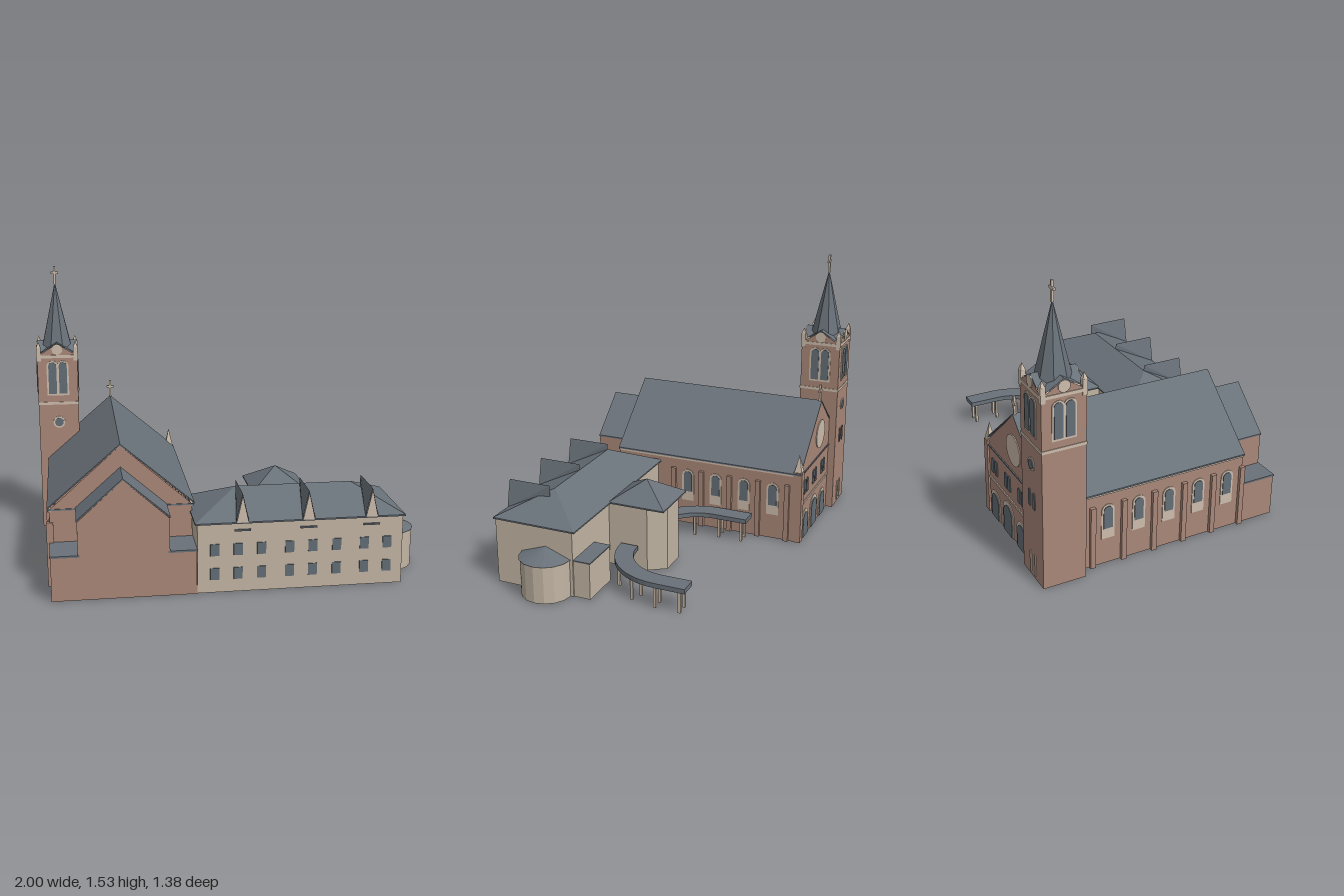
import * as THREE from 'three';

const material = (name, color) => {
  const m = new THREE.MeshStandardMaterial({ color, flatShading: true, side: THREE.DoubleSide });
  m.name = name;
  return m;
};

export function createModel() {
  const brick = material('brick', 0xa98778);
  const plaster = material('plaster', 0xc2b5a3);
  const trim = material('pale trim', 0xcdbdac);
  const slate = material('slate', 0x697179);
  const glass = material('window glass', 0x646e76);
  const root = new THREE.Group();
  const PI = Math.PI;

  const add = (name, geo, mat, x = 0, y = 0, z = 0, ry = 0, parent = root) => {
    const m = new THREE.Mesh(geo, mat);
    m.name = name;
    m.position.set(x, y, z);
    m.rotation.y = ry;
    parent.add(m);
    return m;
  };
  // Box given by its limits
  const box = (name, mat, x0, x1, y0, y1, z0, z1, parent = root) =>
    add(name, new THREE.BoxGeometry(x1 - x0, y1 - y0, z1 - z0), mat,
      (x0 + x1) / 2, (y0 + y1) / 2, (z0 + z1) / 2, 0, parent);
  // Convex polygons split into fans
  const faces = (polys) => {
    const p = [];
    for (const q of polys)
      for (let i = 1; i < q.length - 1; i++) p.push(...q[0], ...q[i], ...q[i + 1]);
    const g = new THREE.BufferGeometry();
    g.setAttribute('position', new THREE.Float32BufferAttribute(p, 3));
    g.computeVertexNormals();
    return g;
  };
  // Walls without floor or ceiling around an [x, z] outline
  const shell = (pts, h) => faces(pts.map(([x, z], i) => {
    const [u, w] = pts[(i + 1) % pts.length];
    return [[x, 0, z], [u, 0, w], [u, h, w], [x, h, z]];
  }));
  const rect = (x0, x1, z0, z1) => [[x0, z1], [x1, z1], [x1, z0], [x0, z0]];
  const hip = (x0, x1, z0, z1, y0, a, b, zr, y1) => {
    const [A, B, C, D] = rect(x0, x1, z0, z1).map(([x, z]) => [x, y0, z]);
    const P = [a, y1, zr], Q = [b, y1, zr];
    return faces([[A, B, Q, P], [B, C, Q], [C, D, P, Q], [D, A, P]]);
  };
  const extrude = (shape, depth) =>
    new THREE.ExtrudeGeometry(shape, { depth, bevelEnabled: false, curveSegments: 8 });
  const poly = (pts) => new THREE.Shape(pts.map(([x, y]) => new THREE.Vector2(x, y)));
  const arch = (w, h) => {
    const s = new THREE.Shape();
    s.moveTo(-w / 2, 0);
    s.lineTo(w / 2, 0);
    s.lineTo(w / 2, h - w / 2);
    s.absarc(0, h - w / 2, w / 2, 0, PI, false);
    s.closePath();
    return s;
  };
  const disc = (r) => new THREE.Shape().absarc(0, 0, r, 0, 2 * PI, false);
  const plate = (name, shape, mat, x, y, z, ry, d, parent) =>
    add(name, extrude(shape, d), mat, x, y, z, ry, parent);
  const cross = (name, x, y, z, h, parent) => {
    box(name + 'Post', trim, x - 0.006, x + 0.006, y, y + h, z - 0.006, z + 0.006, parent);
    box(name + 'Arm', trim, x - 0.022, x + 0.022, y + h * 0.58, y + h * 0.7, z - 0.006, z + 0.006, parent);
  };

  // Gabled hall: walls open below, thin slate roof
  const cx = -0.575;
  const hall = (name, w, eave, ridge, z0, z1, over) => {
    const gable = (z) => [[cx - w, 0, z], [cx + w, 0, z], [cx + w, eave, z], [cx, ridge - 0.008, z], [cx - w, eave, z]];
    const f = gable(z1), b = gable(z0);
    add(name + 'Walls', faces([f, b.slice().reverse(),
      [f[1], b[1], b[2], f[2]], [b[0], f[0], f[4], b[4]]]), brick);
    const o = w + over;
    plate(name + 'Roof', poly([[-o, eave], [-o, eave + 0.008], [0, ridge], [o, eave + 0.008], [o, eave], [0, ridge - 0.008]]),
      slate, cx, 0, z0 - 0.002, 0, z1 - z0 + 0.004);
  };
  hall('nave', 0.365, 0.412, 0.745, -0.645, 0.48, 0.013);
  hall('choir', 0.23, 0.41, 0.625, 0.48, 0.685, 0.004);
  for (const s of [-1, 1]) {
    const a = cx + s * 0.225, b = cx + s * 0.365;
    const x0 = Math.min(a, b), x1 = Math.max(a, b);
    add('sideChapel', shell(rect(x0, x1, 0.48, 0.685), 0.235), brick);
    box('sideChapelRoof', slate, x0 - 0.004, x1 + 0.004, 0.228, 0.238, 0.48, 0.688);
    // Nave bays: eave trim, pilasters and arched windows
    const wx = cx + s * 0.365, ry = s * PI / 2;
    box('eaveTrim', trim, wx - 0.006, wx + 0.006, 0.4, 0.412, -0.645, 0.48);
    for (let i = 0; i < 7; i++) {
      const z = -0.57 + i * 0.174;
      if (s > 0 ? i < 5 : i > 0)
        box('pilaster', brick, wx - 0.018, wx + 0.018, 0, 0.345, z - 0.014, z + 0.014);
      if (s > 0 ? i < 4 : i > 0 && i < 6) {
        plate('naveWindowFrame', arch(0.072, 0.195), trim, wx, 0.147, z + 0.087, ry, 0.004);
        plate('naveWindowGlass', arch(0.05, 0.125), glass, wx, 0.205, z + 0.087, ry, 0.007);
      }
    }
  }
  box('frontEaveLine', slate, -0.95, -0.2, 0.407, 0.415, 0.478, 0.484);
  cross('naveCross', cx, 0.735, -0.635, 0.105);
  box('cornerPier', brick, -0.247, -0.203, 0, 0.43, -0.655, -0.605);
  add('cornerPinnacle', new THREE.ConeGeometry(0.03, 0.1, 4, 1).rotateY(PI / 4), trim, -0.225, 0.48, -0.63);

  // Entrance facade at the rear
  const fz = -0.645;
  [-0.32, -0.487, -0.655].forEach((x, i) => {
    const k = i === 1 ? 1.15 : 1;
    plate('portalFrame', arch(0.12 * k, 0.165 * k), trim, x, 0, fz, PI, 0.004);
    plate('portalDoor', arch(0.09 * k, 0.145 * k), glass, x, 0, fz, PI, 0.007);
    for (const d of [-0.022, 0.022])
      plate('facadeWindow', arch(0.03, 0.085), glass, x + d, 0.27, fz, PI, 0.005);
  });
  box('facadeBand', trim, -0.765, -0.25, 0.215, 0.228, fz - 0.005, fz);
  box('facadeEaveBand', slate, -0.765, -0.25, 0.405, 0.413, fz - 0.006, fz);
  plate('roseWindow', disc(0.085), trim, cx, 0.54, fz, PI, 0.005);

  // Bell tower
  const tower = new THREE.Group();
  tower.name = 'bellTower';
  tower.position.set(-0.882, 0, -0.572);
  root.add(tower);
  const R = 0.115;
  add('towerWalls', shell(rect(-R, R, -R, R), 1.03), brick, 0, 0, 0, 0, tower);
  box('towerBand', trim, -R - 0.003, R + 0.003, 0.742, 0.758, -R - 0.003, R + 0.003, tower);
  box('towerCornice', trim, -R - 0.004, R + 0.004, 1.018, 1.035, -R - 0.004, R + 0.004, tower);
  for (let i = 0; i < 4; i++) {
    const side = new THREE.Group();
    side.name = 'towerSide';
    side.rotation.y = i * PI / 2;
    tower.add(side);
    for (const x of [-0.03, 0.03]) {
      plate('belfryFrame', arch(0.066, 0.205), trim, x, 0.797, R, 0, 0.004, side);
      plate('belfryOpening', arch(0.046, 0.185), glass, x, 0.808, R, 0, 0.007, side);
    }
    if (i % 2 === 0) {
      plate('roundFrame', disc(0.035), trim, 0, 0.637, R, 0, 0.004, side);
      plate('roundGlass', disc(0.025), glass, 0, 0.637, R, 0, 0.007, side);
    }
    add('towerGable', faces([[[-R, 1.03, R], [R, 1.03, R], [0, 1.1, R]]]), brick, 0, 0, 0, 0, side);
    add('towerGableRoof', faces([
      [[-R, 1.035, R], [0, 1.105, R], [0, 1.105, 0]],
      [[R, 1.035, R], [0, 1.105, 0], [0, 1.105, R]]]), slate, 0, 0, 0, 0, side);
    plate('gableDisc', disc(0.031), trim, 0, 1.068, R, 0, 0.005, side);
    box('pinnacleBase', trim, R - 0.022, R + 0.004, 1, 1.08, R - 0.022, R + 0.004, side);
    add('pinnacle', new THREE.ConeGeometry(0.018, 0.035, 4).rotateY(PI / 4), trim, R - 0.009, 1.097, R - 0.009, 0, side);
  }
  add('spire', new THREE.ConeGeometry(0.1, 0.415, 8, 1, true).rotateY(PI / 8), slate, 0, 1.2375, 0, 0, tower);
  cross('spireCross', 0, 1.43, 0, 0.105, tower);
  for (const x of [-0.025, 0.025]) {
    plate('towerSlit', arch(0.02, 0.09), glass, x, 0.4, -R, PI, 0.005, tower);
    plate('towerBaseSlit', arch(0.014, 0.12), trim, x, 0.02, -R, PI, 0.005, tower);
  }

  // Long residence with hipped roof
  add('residenceWalls', shell(rect(-0.208, 0.857, 0.23, 0.68), 0.366), plaster);
  box('residenceCeiling', plaster, -0.2, 0.85, 0.355, 0.36, 0.235, 0.675);
  box('residenceEave', slate, -0.22, 0.868, 0.364, 0.372, 0.212, 0.688);
  add('residenceRoof', hip(-0.22, 0.868, 0.212, 0.688, 0.372, 0.02, 0.635, 0.445, 0.487), slate);
  for (const x of [-0.12, 0, 0.12, 0.265, 0.385, 0.51, 0.655, 0.775])
    for (const y of [0.1, 0.228])
      box('residenceWindow', glass, x - 0.023, x + 0.023, y - 0.031, y + 0.031, 0.679, 0.685);
  for (const x of [0.022, 0.362, 0.69]) {
    const L = [x - 0.034, 0.37, 0.686], Q = [x + 0.034, 0.37, 0.686], T = [x, 0.52, 0.686];
    const B = [x, 0.52, 0.445], D = [x, 0.45, 0.445];
    add('dormerRoof', faces([[L, T, B, D], [Q, D, B, T]]), slate);
    plate('dormerFront', poly([[-0.031, 0.37], [0.031, 0.37], [0, 0.512]]), trim, x, 0, 0.684, 0, 0.005);
    box('dormerSill', slate, x - 0.042, x + 0.042, 0.325, 0.333, 0.679, 0.69);
  }

  // Rounded end bay
  add('endBay', new THREE.CylinderGeometry(0.137, 0.137, 0.21, 8, 1, true, 0, PI), plaster, 0.857, 0.105, 0.385);
  add('endBayRoof', new THREE.CylinderGeometry(0, 0.143, 0.052, 8, 1, true, 0, PI), slate, 0.857, 0.234, 0.385);

  // Rear annex and pavilion
  add('annexWalls', shell(rect(0.62, 0.85, 0.138, 0.23), 0.202), plaster);
  box('annexRoof', slate, 0.617, 0.853, 0.2, 0.207, 0.134, 0.23);
  add('pavilionWalls', shell([[0.17, 0.23], [0.44, 0.23], [0.44, 0.005], [0.38, -0.088], [0.23, -0.088], [0.17, 0.005]], 0.366), plaster);
  box('pavilionEave', slate, 0.15, 0.458, 0.364, 0.372, -0.1, 0.224);
  add('pavilionRoof', hip(0.15, 0.458, -0.1, 0.224, 0.372, 0.303, 0.305, 0.065, 0.475), slate);

  // Two curved covered walks with posts
  const walk = (s, mx, mz, r) => {
    const at = (rad, a) => [mx + s * rad * Math.cos(a), mz + rad * Math.sin(a)];
    const arc = (rad) => Array.from({ length: 13 }, (_, i) => at(rad, i / 12 * PI / 2));
    const o = r + 0.05, n = r - 0.05;
    const pts = [[mx + s * o, -0.37], ...arc(o), ...arc(n).reverse(), [mx + s * n, -0.37]];
    add('coveredWalkRoof', extrude(poly(pts), 0.026).rotateX(PI / 2), slate, 0, 0.146, 0);
    for (const rad of [r - 0.03, r + 0.03]) {
      const spots = [[mx + s * rad, -0.335], [mx + s * rad, -0.2], at(rad, 0.45), at(rad, 0.95)];
      for (const [x, z] of spots)
        box('coveredWalkPost', plaster, x - 0.007, x + 0.007, 0, 0.122, z - 0.007, z + 0.007);
    }
  };
  walk(-1, 0.15, -0.17, 0.28);
  walk(1, 0.46, -0.2, 0.3);

  return root;
}
